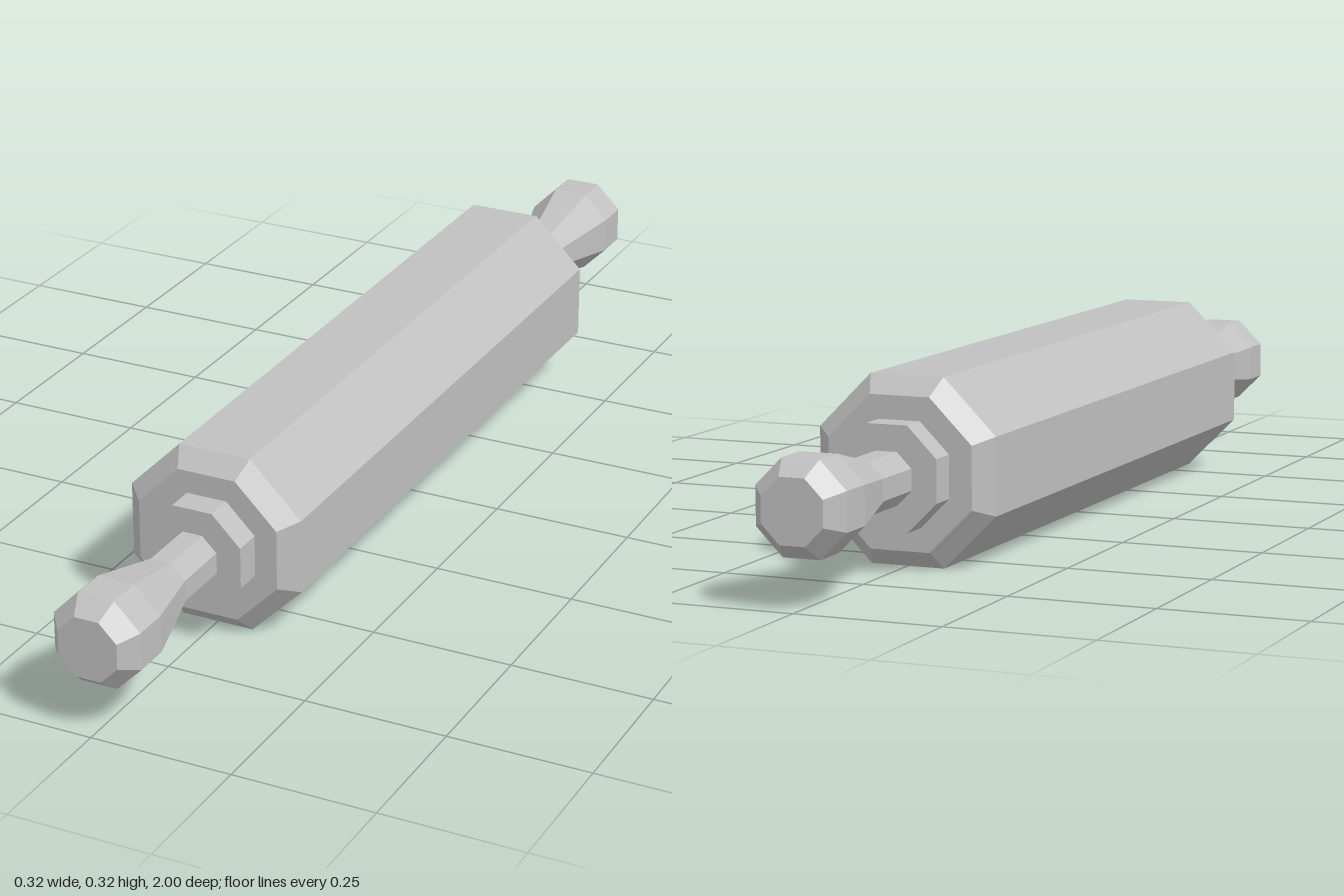
import * as THREE from 'three';

const SIDES = 8;
const AXIS_Y = 0.159;

// Octagonal turned part along z; profile is [apothem, z] from low z to high z
function turned(name, profile, material) {
  const points = profile.map(([a, z]) => new THREE.Vector2(a / Math.cos(Math.PI / SIDES), z));
  const geometry = new THREE.LatheGeometry(points, SIDES, Math.PI / SIDES);
  geometry.rotateX(Math.PI / 2);
  const mesh = new THREE.Mesh(geometry, material);
  mesh.name = name;
  return mesh;
}

export function createModel() {
  const model = new THREE.Group();
  model.name = 'rollingPin';
  const grey = new THREE.MeshStandardMaterial({ color: 0xc0c0c0, flatShading: true });
  grey.name = 'light grey';

  // Roller with bevelled ends
  const roller = turned('roller', [
    [0, -0.61], [0.128, -0.61], [0.158, -0.58],
    [0.158, 0.58], [0.128, 0.61], [0, 0.61],
  ], grey);
  roller.position.y = AXIS_Y;
  model.add(roller);

  // Collar and flared grip at each end
  for (const [side, angle] of [['front', 0], ['back', Math.PI]]) {
    const handle = new THREE.Group();
    handle.name = side + 'Handle';
    handle.add(turned('collar', [
      [0, 0.6], [0.088, 0.6], [0.088, 0.66], [0, 0.66],
    ], grey));
    handle.add(turned('grip', [
      [0.044, 0.65], [0.044, 0.765], [0.078, 0.905],
      [0.078, 0.968], [0.053, 1], [0, 1],
    ], grey));
    handle.position.y = AXIS_Y;
    handle.rotation.y = angle;
    model.add(handle);
  }

  return model;
}
